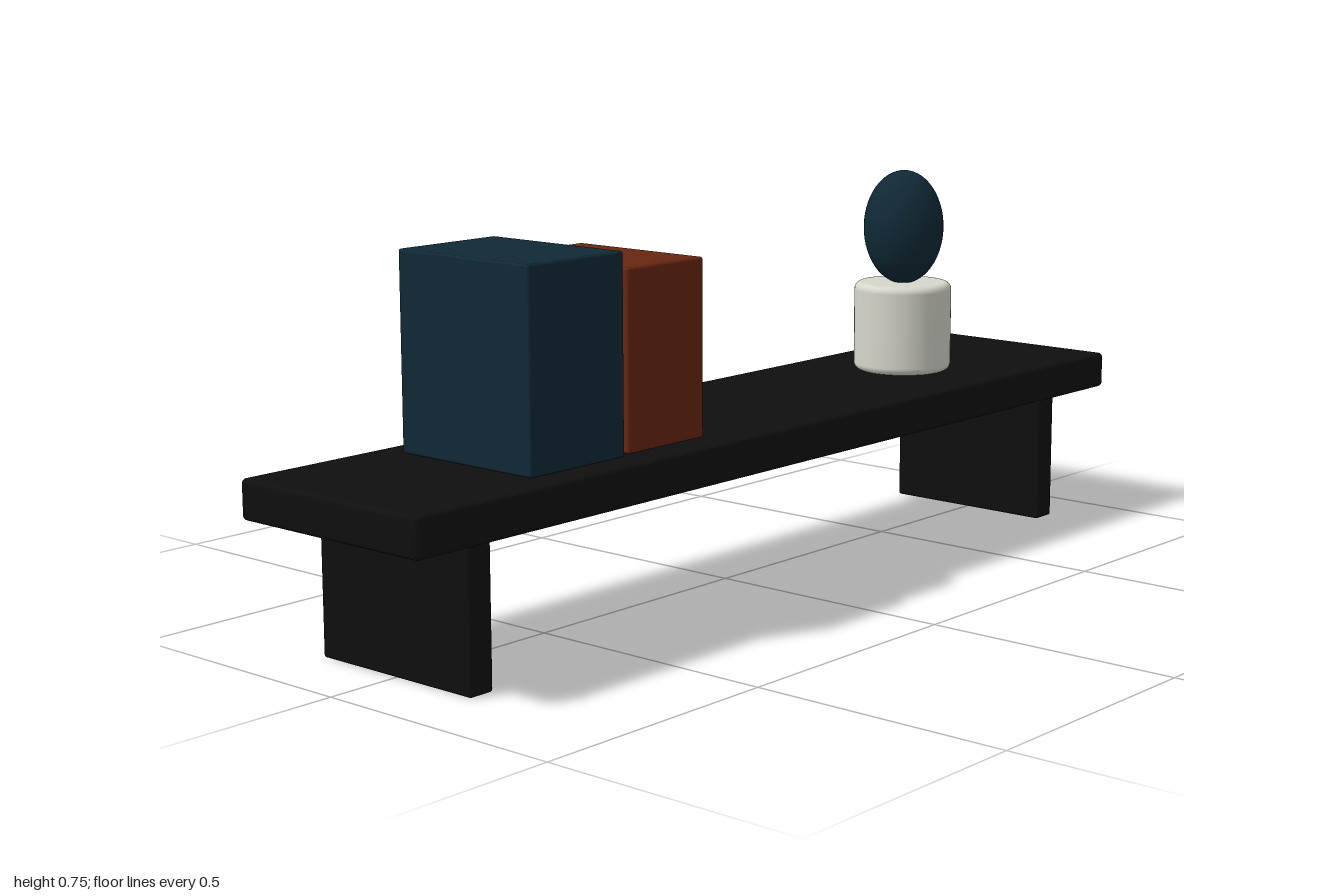
import * as THREE from 'three';
import { RoundedBoxGeometry } from 'three/addons/geometries/RoundedBoxGeometry.js';

const material = (name, color) => {
  const m = new THREE.MeshStandardMaterial({ color });
  m.name = name;
  return m;
};

export function createModel() {
  const black = material('black', 0x0f0f0f);
  const navy = material('navy', 0x102936);
  const rust = material('rust', 0x662611);
  const white = material('offWhite', 0xd6d6cc);

  const model = new THREE.Group();
  model.name = 'decoratedShelf';

  const add = (name, geometry, mat, x, y, z = 0) => {
    const mesh = new THREE.Mesh(geometry, mat);
    mesh.name = name;
    mesh.position.set(x, y, z);
    model.add(mesh);
    return mesh;
  };

  // Softly rounded box given by its x range, y range and depth
  const block = (name, mat, x0, x1, y0, y1, depth, radius) =>
    add(name, new RoundedBoxGeometry(x1 - x0, y1 - y0, depth, 3, radius), mat,
      (x0 + x1) / 2, (y0 + y1) / 2);

  const top = 0.338;

  // Shelf board and its two supports
  block('board', black, -1, 1, 0.265, top, 0.434, 0.009);
  block('leftSupport', black, 0.805, 0.858, 0, 0.272, 0.368, 0.006);
  block('rightSupport', black, -0.858, -0.805, 0, 0.272, 0.368, 0.006);

  // Books
  block('tallBook', navy, -0.686, -0.454, top, 0.7, 0.318, 0.005);
  block('shortBook', rust, -0.436, -0.236, top, 0.667, 0.302, 0.005);

  // Pot: a cylinder with rounded rims
  const r = 0.1, h = 0.183, bevel = 0.015;
  const profile = [new THREE.Vector2(0, 0)];
  for (let i = 0; i <= 6; i++) {
    const a = -Math.PI / 2 + (i / 6) * Math.PI / 2;
    profile.push(new THREE.Vector2(r - bevel + bevel * Math.cos(a), bevel + bevel * Math.sin(a)));
  }
  for (let i = 0; i <= 6; i++) {
    const a = (i / 6) * Math.PI / 2;
    profile.push(new THREE.Vector2(r - bevel + bevel * Math.cos(a), h - bevel + bevel * Math.sin(a)));
  }
  profile.push(new THREE.Vector2(0, h));
  add('pot', new THREE.LatheGeometry(profile, 48), white, 0.564, top);

  // Egg-shaped plant resting on the pot
  add('plant', new THREE.SphereGeometry(1, 40, 28), navy, 0.564, 0.634).scale.set(0.082, 0.117, 0.082);

  return model;
}
